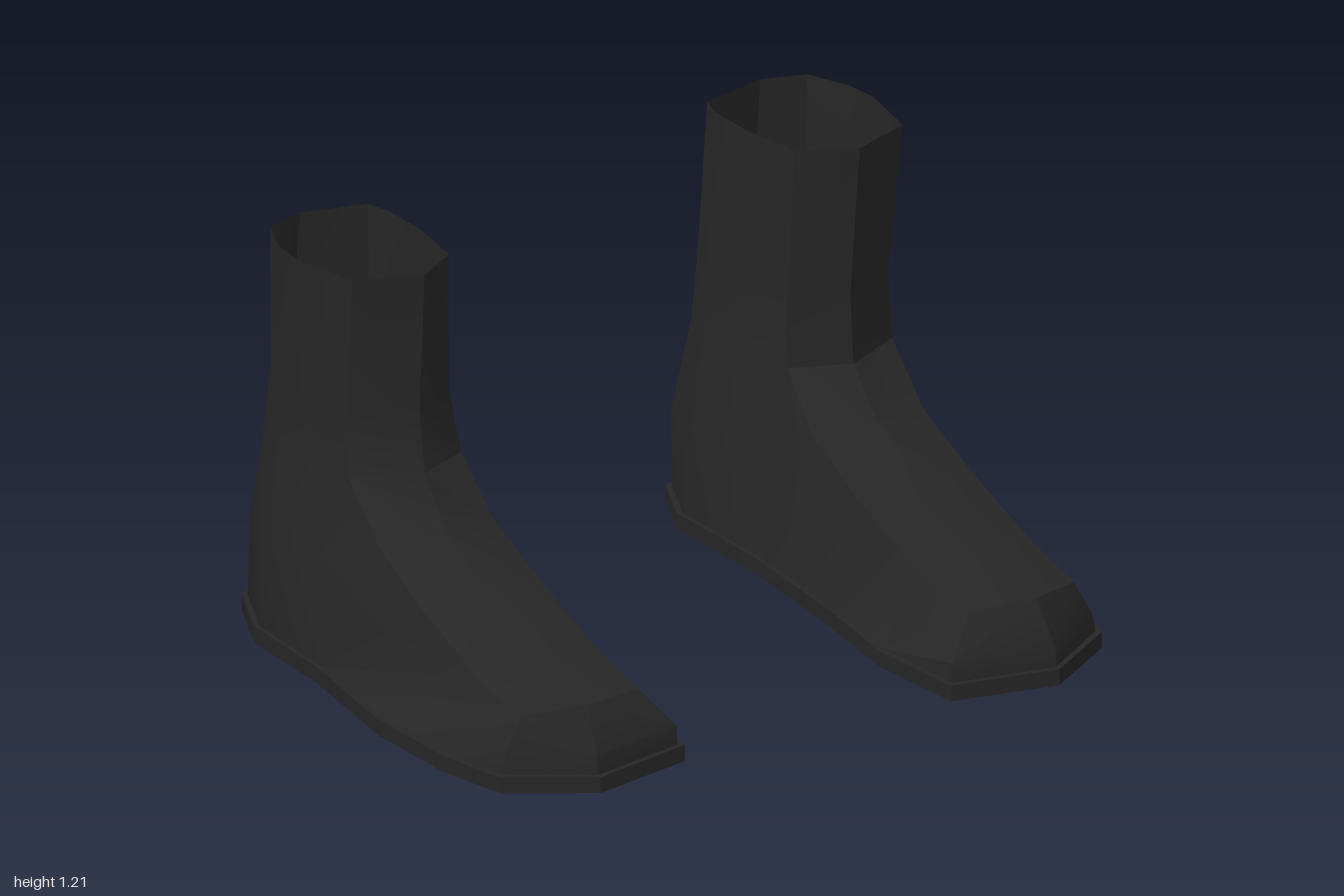
import * as THREE from 'three';
import { toCreasedNormals } from 'three/addons/utils/BufferGeometryUtils.js';

// sole outline [x, z] from the toe, round the outer side, to the heel and back
const SOLE = [
  [0.70, 0.81], [0.925, 0.67], [0.98, 0.47], [1.0, 0.17], [0.955, -0.2], [0.94, -0.52], [0.845, -0.72],
  [0.715, -0.82], [0.48, -0.72], [0.40, -0.55], [0.405, -0.2], [0.39, 0.17], [0.36, 0.47], [0.40, 0.75],
];
const soleY = z => 0.035 * Math.min(1, Math.max(0, (0.8 - z) / 0.95));
const soleBottom = SOLE.map(([x, z]) => [x, soleY(z), z]);
const soleTop = SOLE.map(([x, z]) => [x, soleY(z) + 0.045, z]);
// foot of the upper, set in a little from the sole edge
const base = SOLE.map(([x, z]) => [0.68 + (x - 0.68) * 0.95, soleY(z) + 0.045, z * 0.98]);

// shaft rings: front, front outer, then round the back to front inner
const level = (y, pts) => pts.map(([x, z]) => [x, y, z]);
const SHAFT = [
  level(1.21, [[0.67, -0.09], [0.85, -0.16], [0.89, -0.36], [0.88, -0.46], [0.83, -0.58],
    [0.71, -0.62], [0.51, -0.57], [0.49, -0.5], [0.49, -0.36], [0.52, -0.17]]),
  level(0.78, [[0.67, -0.135], [0.845, -0.22], [0.865, -0.38], [0.865, -0.47], [0.83, -0.6],
    [0.715, -0.675], [0.50, -0.6], [0.485, -0.52], [0.485, -0.38], [0.515, -0.2]]),
  level(0.59, [[0.67, -0.12], [0.85, -0.21], [0.87, -0.36], [0.875, -0.5], [0.835, -0.63],
    [0.715, -0.705], [0.495, -0.62], [0.475, -0.52], [0.485, -0.36], [0.51, -0.19]]),
  // ankle ring, tilted down towards the heel
  [[0.675, 0.46, -0.01], [0.85, 0.44, -0.06], [0.91, 0.36, -0.28], [0.915, 0.32, -0.52], [0.84, 0.3, -0.69],
    [0.715, 0.3, -0.785], [0.475, 0.3, -0.69], [0.42, 0.32, -0.53], [0.43, 0.34, -0.28], [0.50, 0.45, -0.06]],
  // instep ring, whose sides and back stand on the sole
  [[0.68, 0.365, 0.2], [0.855, 0.335, 0.17], ...base.slice(4, 11), [0.495, 0.345, 0.17]],
];
// open bands over the forefoot, inner side to outer side
const FOREFOOT = [
  [8, 9, 0, 1, 2].map(i => SHAFT[4][i]),
  [base[11], [0.495, 0.25, 0.45], [0.685, 0.27, 0.45], [0.855, 0.24, 0.45], base[3]],
  [base[12], [0.50, 0.205, 0.68], [0.685, 0.218, 0.72], [0.85, 0.20, 0.65], base[2]],
  [base[12], [0.415, 0.1, 0.735], [0.70, 0.1, 0.79], [0.905, 0.1, 0.655], base[2]],
  [base[12], base[13], base[0], base[1], base[2]],
];

// the right boot is mirrored, with a lower shaft and a shorter toe
function rightBoot([x, y, z]) {
  const up = Math.max(0, y - 0.59);
  return [-x - (x < 0.6 && y > 0.75 ? 0.02 : 0), y - up * 0.095, (z > 0 ? z * 0.935 : z) - up * 0.05];
}

function surface(mirrored, fill) {
  const out = [];
  const same = (p, q) => p.every((v, i) => v === q[i]);
  const tri = (a, b, c) => {
    if (same(a, b) || same(b, c) || same(a, c)) return;
    const t = mirrored ? [a, c, b].map(rightBoot) : [a, b, c];
    t.forEach(p => out.push(...p));
  };
  const quad = (a, b, c, d) => { tri(a, b, c); tri(a, c, d); };
  // join rows of points, each row lying below or ahead of the one before
  const loft = (rows, closed) => {
    for (let k = 0; k < rows.length - 1; k++) {
      const hi = rows[k], lo = rows[k + 1], n = hi.length;
      for (let i = 0; i < (closed ? n : n - 1); i++) {
        const j = (i + 1) % n;
        quad(lo[i], lo[j], hi[j], hi[i]);
      }
    }
  };
  fill(loft, quad);
  const g = new THREE.BufferGeometry();
  g.setAttribute('position', new THREE.Float32BufferAttribute(out, 3));
  return toCreasedNormals(g, 0.55);
}

export function createModel() {
  const black = new THREE.MeshStandardMaterial({ color: 0x262626, side: THREE.DoubleSide });
  black.name = 'blackLeather';
  const red = new THREE.MeshStandardMaterial({ color: 0x7d372f, side: THREE.DoubleSide });
  red.name = 'redSole';

  const model = new THREE.Group();
  model.name = 'boots';
  for (const mirrored of [false, true]) {
    const boot = new THREE.Group();
    boot.name = mirrored ? 'rightBoot' : 'leftBoot';
    const add = (name, material, fill) => {
      const mesh = new THREE.Mesh(surface(mirrored, fill), material);
      mesh.name = name;
      boot.add(mesh);
    };
    // hollow shaft and forefoot
    add('upper', black, loft => { loft(SHAFT, true); loft(FOREFOOT, false); });
    // sole edge with its narrow ledge
    add('soleEdge', black, loft => loft([base, soleTop, soleBottom], true));
    // underside, also seen down the shaft
    add('soleUnderside', red, (loft, quad) => {
      const s = soleBottom;
      for (let i = 0; i < 7; i++) quad(s[(14 - i) % 14], s[13 - i], s[i + 1], s[i]);
    });
    model.add(boot);
  }
  return model;
}
